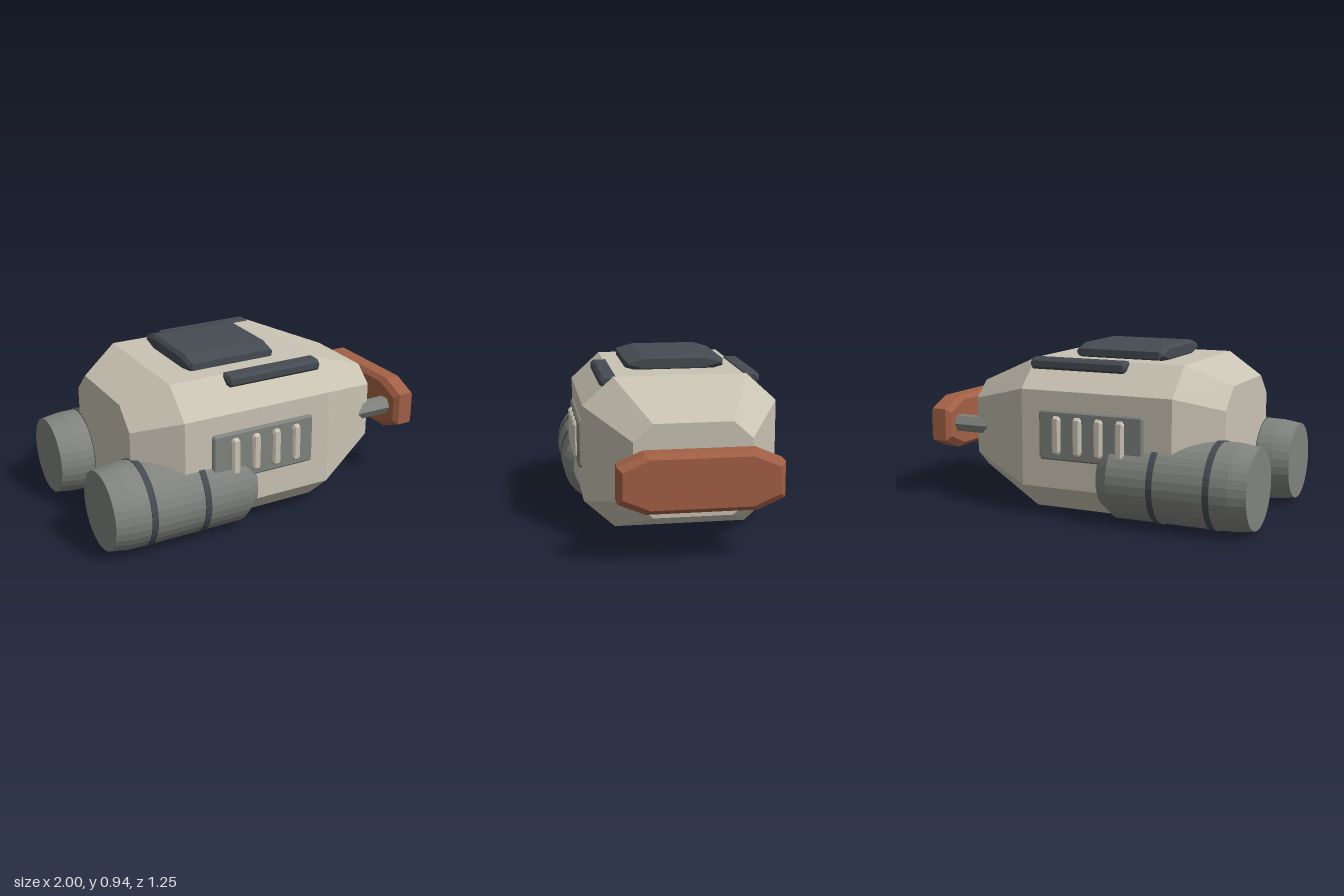
import * as THREE from 'three';

const paint = (name, color) => {
  const m = new THREE.MeshStandardMaterial({ color, flatShading: true });
  m.name = name;
  return m;
};

// Octagonal section in the y/z plane: half width, flat half width, and four heights
function octagon(x, W, w, top, sideTop, sideBottom, bottom) {
  return [
    [x, sideBottom, -W], [x, sideTop, -W], [x, top, -w], [x, top, w],
    [x, sideTop, W], [x, sideBottom, W], [x, bottom, w], [x, bottom, -w],
  ];
}

// Skin over sections ordered from low x to high x, with closed ends
function loft(sections) {
  const pos = [];
  const tri = (a, b, c) => pos.push(...a, ...b, ...c);
  const n = sections[0].length;
  for (let s = 0; s < sections.length - 1; s++) {
    const A = sections[s], B = sections[s + 1];
    for (let i = 0; i < n; i++) {
      const j = (i + 1) % n;
      tri(A[i], A[j], B[i]);
      tri(A[j], B[j], B[i]);
    }
  }
  const first = sections[0], last = sections[sections.length - 1];
  for (let i = 1; i < n - 1; i++) {
    tri(first[0], first[i + 1], first[i]);
    tri(last[0], last[i], last[i + 1]);
  }
  const g = new THREE.BufferGeometry();
  g.setAttribute('position', new THREE.Float32BufferAttribute(pos, 3));
  g.computeVertexNormals();
  return g;
}

// Centred block with octagonal y/z outline and bevelled x ends
function bevelBlock(length, height, depth, cutY, cutZ, bevel) {
  const section = (x, inset) => {
    const h = height / 2 - inset, d = depth / 2 - inset;
    const cy = Math.min(cutY, h * 0.9), cz = Math.min(cutZ, d * 0.9);
    return octagon(x, d, d - cz, h, h - cy, cy - h, -h);
  };
  const l = length / 2;
  return loft([section(-l, bevel), section(-l + bevel, 0), section(l - bevel, 0), section(l, bevel)]);
}

export function createModel() {
  const hullPaint = paint('warm beige', 0xc9c3b3);
  const metal = paint('grey metal', 0x80837e);
  const dark = paint('dark slate', 0x454b52);
  const rust = paint('rust orange', 0xa36045);

  const model = new THREE.Group();
  const add = (name, geometry, material, x = 0, y = 0, z = 0, parent = model) => {
    const mesh = new THREE.Mesh(geometry, material);
    mesh.name = name;
    mesh.position.set(x, y, z);
    parent.add(mesh);
    return mesh;
  };

  // Faceted hull
  add('hull', loft([
    octagon(-0.805, 0.36, 0.24, 0.745, 0.63, 0.24, 0.125),
    octagon(-0.575, 0.54, 0.37, 0.858, 0.703, 0.165, 0.01),
    octagon(0.31, 0.54, 0.37, 0.858, 0.703, 0.165, 0.01),
    octagon(0.735, 0.315, 0.212, 0.685, 0.592, 0.275, 0.182),
  ]), hullPaint);

  // Roof hatch and bumper
  add('roofHatch', bevelBlock(0.52, 0.09, 0.56, 0.026, 0.09, 0.018), dark, -0.152, 0.89, 0);
  add('bumper', bevelBlock(0.135, 0.308, 0.85, 0.06, 0.14, 0.025), rust, 0.9325, 0.435, 0);

  // Pod outline: radius against distance along x
  const podProfile = [[0, -1], [0.217, -1], [0.232, -0.9], [0.234, -0.82],
    [0.234, -0.23], [0.18, -0.15], [0, -0.15]].map(([r, x]) => new THREE.Vector2(r, x));

  for (const [side, s] of [['left', 1], ['right', -1]]) {
    const flank = new THREE.Group();
    flank.name = s > 0 ? 'frontFlank' : 'backFlank';
    model.add(flank);

    // Engine pod with two bands
    const pod = new THREE.LatheGeometry(podProfile, 32).rotateZ(-Math.PI / 2);
    add('enginePod', pod, metal, 0, 0.239, s * 0.385, flank);
    for (const x of [-0.79, -0.48]) {
      const band = new THREE.CylinderGeometry(0.239, 0.239, 0.034, 32).rotateZ(Math.PI / 2);
      add('podBand', band, dark, x, 0.239, s * 0.385, flank);
    }

    // Vent panel with four bars
    add('ventPanel', bevelBlock(0.615, 0.275, 0.05, 0.01, 0.01, 0.01), metal, -0.112, 0.4625, s * 0.535, flank);
    for (let i = 0; i < 4; i++) {
      add('ventBar', bevelBlock(0.05, 0.21, 0.05, 0.012, 0.012, 0.012), hullPaint,
        -0.29 + i * 0.125, 0.465, s * 0.556, flank);
    }

    // Roof rail and bumper strut
    add('roofRail', bevelBlock(0.575, 0.065, 0.1, 0.016, 0.016, 0.014), dark, 0.0225, 0.832, s * 0.395, flank);
    const strut = new THREE.CylinderGeometry(0.053, 0.053, 0.35, 6).rotateZ(Math.PI / 2);
    add('bumperStrut', strut, metal, 0.705, 0.435, s * 0.312, flank);
  }
  return model;
}
